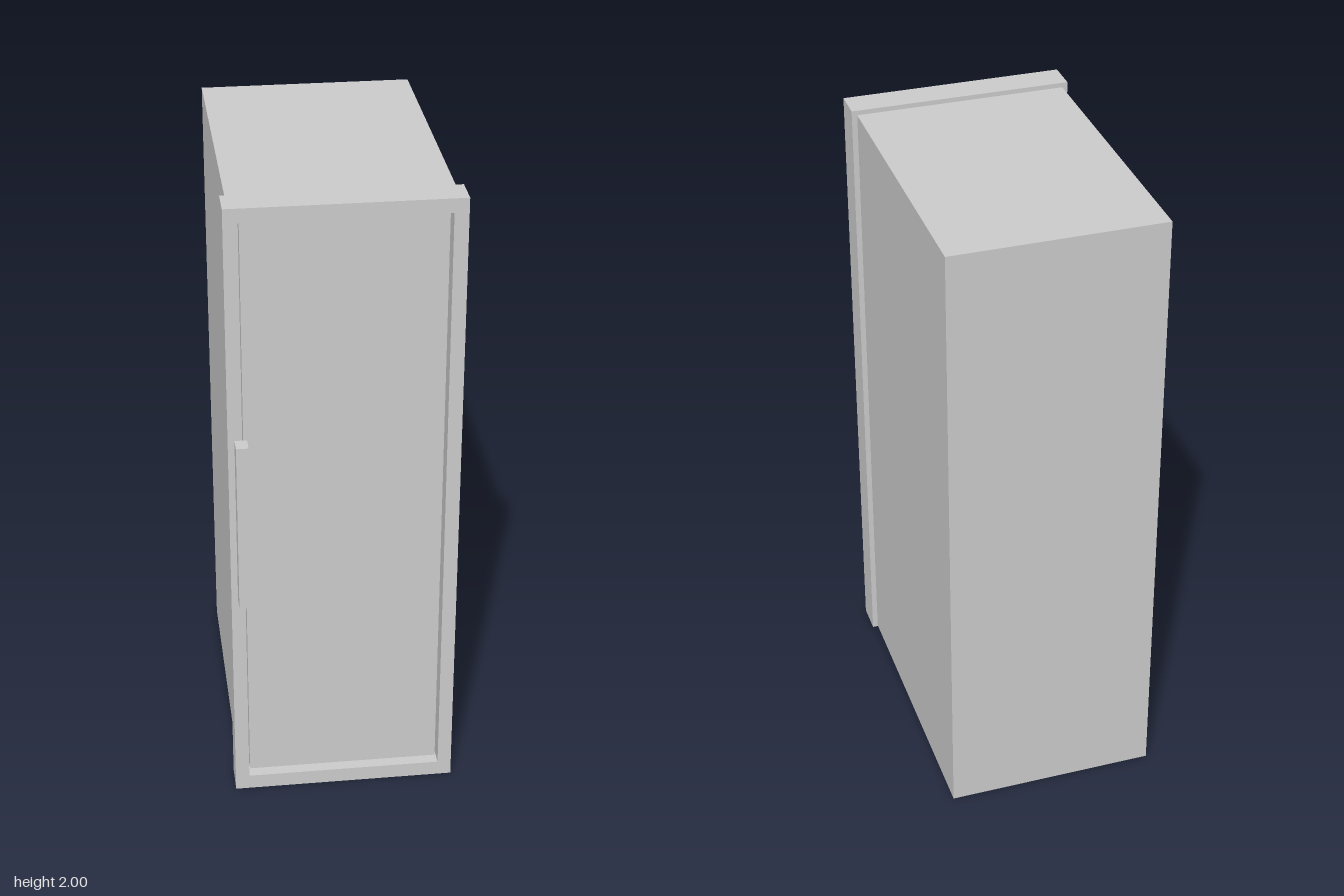
import * as THREE from 'three';

const material = new THREE.MeshStandardMaterial({ color: 0xcccccc, flatShading: true });

// Box given by its minimum and maximum corners
function box(name, [x0, y0, z0], [x1, y1, z1]) {
  const mesh = new THREE.Mesh(new THREE.BoxGeometry(x1 - x0, y1 - y0, z1 - z0), material);
  mesh.position.set((x0 + x1) / 2, (y0 + y1) / 2, (z0 + z1) / 2);
  mesh.name = name;
  return mesh;
}

// Corners of an upright rectangle
function rect(x, y0, y1) {
  return [[-x, y0], [x, y0], [x, y1], [-x, y1]].map(([a, b]) => new THREE.Vector2(a, b));
}

export function createModel() {
  const group = new THREE.Group();
  group.name = 'cabinet';

  // Main body
  group.add(box('body', [-0.33, 0.004, -0.54], [0.33, 1.985, 0.39]));

  // Door: frame with an opening and a recessed panel
  const door = new THREE.Group();
  door.name = 'door';
  const shape = new THREE.Shape(rect(0.347, 0, 2));
  shape.holes.push(new THREE.Path(rect(0.304, 0.048, 1.956)));
  const frame = new THREE.Mesh(
    new THREE.ExtrudeGeometry(shape, { depth: 0.1, bevelEnabled: false }), material);
  frame.position.z = 0.39;
  frame.name = 'doorFrame';
  door.add(frame);
  door.add(box('doorPanel', [-0.299, 0.054, 0.395], [0.299, 1.95, 0.46]));

  // Upright handle on the door's right side
  door.add(box('handle', [-0.327, 0.72, 0.49], [-0.29, 1.27, 0.54]));
  group.add(door);

  return group;
}
